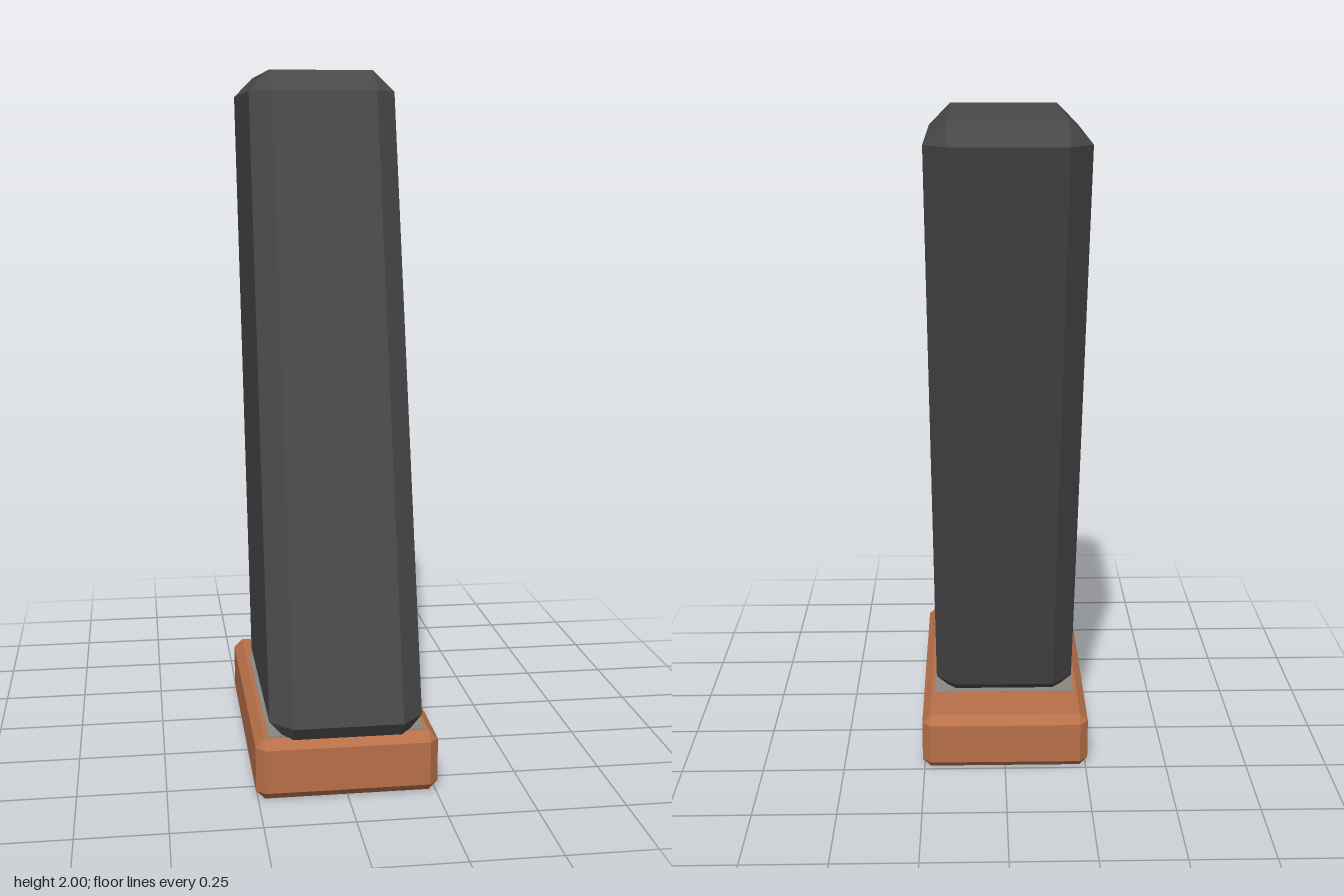
import * as THREE from 'three';
import { ConvexGeometry } from 'three/addons/geometries/ConvexGeometry.js';

// Box with chamfered edges and corners, leaning along z by `lean` per unit of height
function chamferBox(w, h, d, c, lean = 0) {
  const points = [];
  for (const sx of [-1, 1]) for (const sy of [-1, 1]) for (const sz of [-1, 1]) {
    for (const full of [0, 1, 2]) {
      const inset = [c, c, c];
      inset[full] = 0;
      const y = sy * (h / 2 - inset[1]);
      points.push(new THREE.Vector3(
        sx * (w / 2 - inset[0]), y, sz * (d / 2 - inset[2]) + lean * y));
    }
  }
  return new ConvexGeometry(points);
}

export function createModel() {
  const group = new THREE.Group();
  group.name = 'slantedMagazine';
  const darkMetal = new THREE.MeshStandardMaterial({ name: 'dark metal', color: 0x484848 });
  const copper = new THREE.MeshStandardMaterial({ name: 'copper brown', color: 0xb87049 });
  const grey = new THREE.MeshStandardMaterial({ name: 'warm grey', color: 0x8c8680 });

  const add = (name, geometry, material, y, z) => {
    const mesh = new THREE.Mesh(geometry, material);
    mesh.name = name;
    mesh.position.set(0, y, z);
    group.add(mesh);
  };

  // Leaning body, its foot sunk slightly into the base
  add('body', chamferBox(0.43, 1.85, 0.715, 0.062, -0.298), darkMetal, 1.075, 0);
  // Base plate
  add('basePlate', chamferBox(0.512, 0.175, 0.86, 0.025), copper, 0.0875, 0.175);
  // Thin collar where the body meets the base
  add('collar', new THREE.BoxGeometry(0.44, 0.006, 0.65), grey, 0.174, 0.245);

  return group;
}
